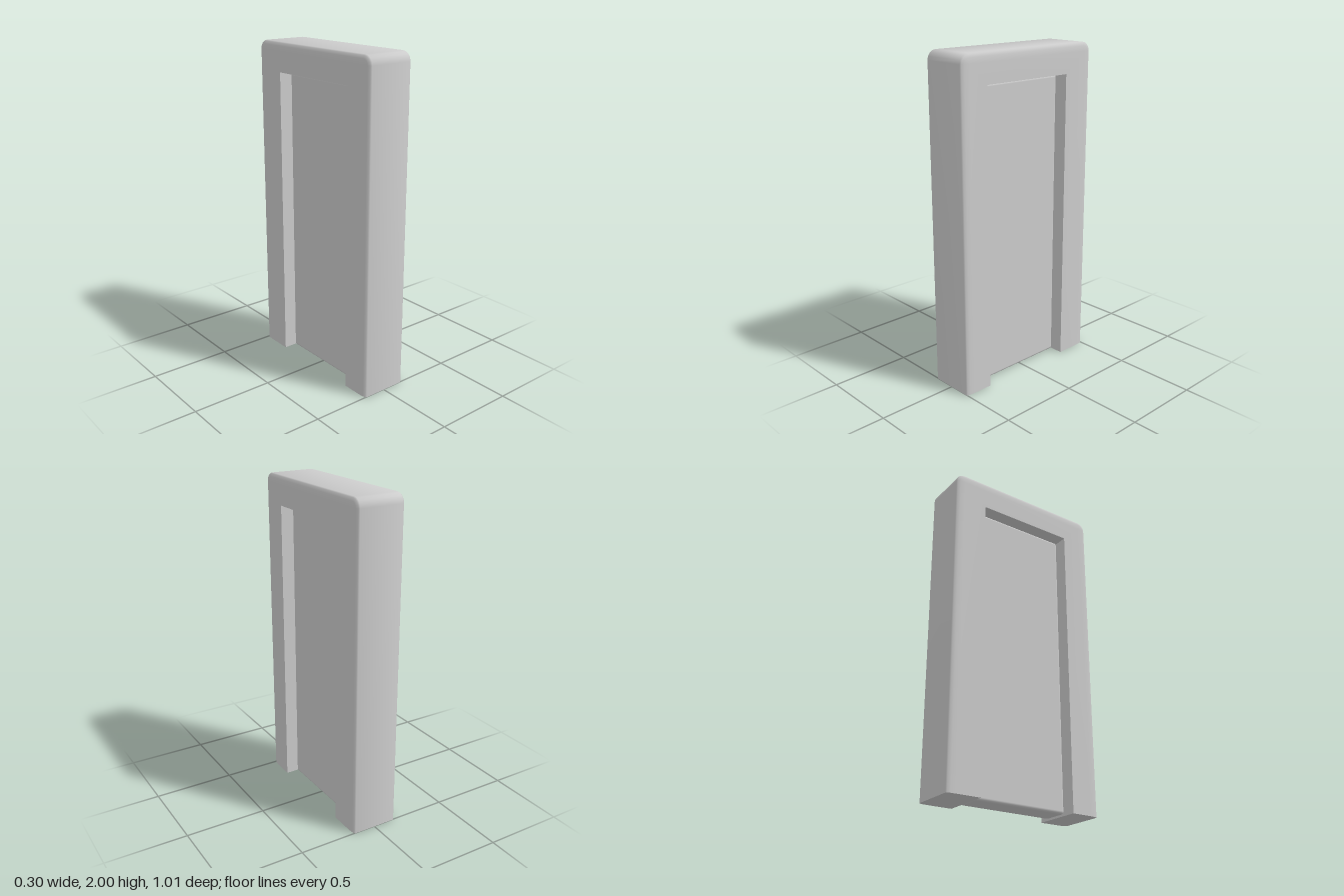
import * as THREE from 'three';
import { toCreasedNormals } from 'three/addons/utils/BufferGeometryUtils.js';
import { RoundedBoxGeometry } from 'three/addons/geometries/RoundedBoxGeometry.js';

const HALF_DEPTH = 0.503, HEIGHT = 2, HALF_WIDTH = 0.15;
const OPEN_FRONT = 0.322, OPEN_BACK = -0.297, OPEN_TOP = 1.823;
const R = 0.055; // outer corner radius, also the reach of the edge bevel

// Cross-section from one inner edge round the outside to the other: [x, inset]
const side = [[0.135, 0], [0.143, 0.006], [0.148, 0.023], [HALF_WIDTH, R]];
const profile = [...side.map(([x, d]) => [-x, d]).reverse(), ...side];

// Stations up the front post, across the lintel and down the back post
function makeStations() {
  const c = HALF_DEPTH - R, top = HEIGHT - R, steps = 4;
  const list = [{ z: c, y: 0, a: 0, inner: [OPEN_FRONT, 0] }];
  for (const [z, a0, innerZ] of [[c, 0, OPEN_FRONT], [-c, Math.PI / 2, OPEN_BACK]]) {
    for (let i = 0; i <= steps; i++) {
      list.push({ z, y: top, a: a0 + (i / steps) * Math.PI / 2, inner: [innerZ, OPEN_TOP] });
    }
  }
  list.push({ z: -c, y: 0, a: Math.PI, inner: [OPEN_BACK, 0] });
  return list;
}

function frameGeometry() {
  const stations = makeStations();
  const n = profile.length + 2;
  const pos = [], index = [];
  for (const s of stations) {
    pos.push(-HALF_WIDTH, s.inner[1], s.inner[0]);
    for (const [x, d] of profile) {
      pos.push(x, s.y + Math.sin(s.a) * (R - d), s.z + Math.cos(s.a) * (R - d));
    }
    pos.push(HALF_WIDTH, s.inner[1], s.inner[0]);
  }
  // Skin between neighbouring stations
  for (let i = 0; i < stations.length - 1; i++) {
    for (let j = 0; j < n; j++) {
      const a = i * n + j, b = i * n + (j + 1) % n;
      index.push(a, b, b + n, a, b + n, a + n);
    }
  }
  // Flat feet
  const last = (stations.length - 1) * n;
  for (let j = 1; j < n - 1; j++) {
    index.push(0, j + 1, j, last, last + j, last + j + 1);
  }
  const g = new THREE.BufferGeometry();
  g.setAttribute('position', new THREE.Float32BufferAttribute(pos, 3));
  g.setIndex(index);
  return toCreasedNormals(g, 0.9);
}

export function createModel() {
  const group = new THREE.Group();
  group.name = 'doorway';
  const material = new THREE.MeshStandardMaterial({ color: 0xcccccc });

  // Surround: two posts and a lintel in one piece
  const frame = new THREE.Mesh(frameGeometry(), material);
  frame.name = 'doorFrame';
  group.add(frame);

  // Door slab, recessed inside the opening
  const front = 0.315, back = -0.29, bottom = 0.005, top = 1.818;
  const door = new THREE.Mesh(
    new RoundedBoxGeometry(0.16, top - bottom, front - back, 3, 0.018), material);
  door.name = 'door';
  door.position.set(0, (top + bottom) / 2, (front + back) / 2);
  group.add(door);

  return group;
}
